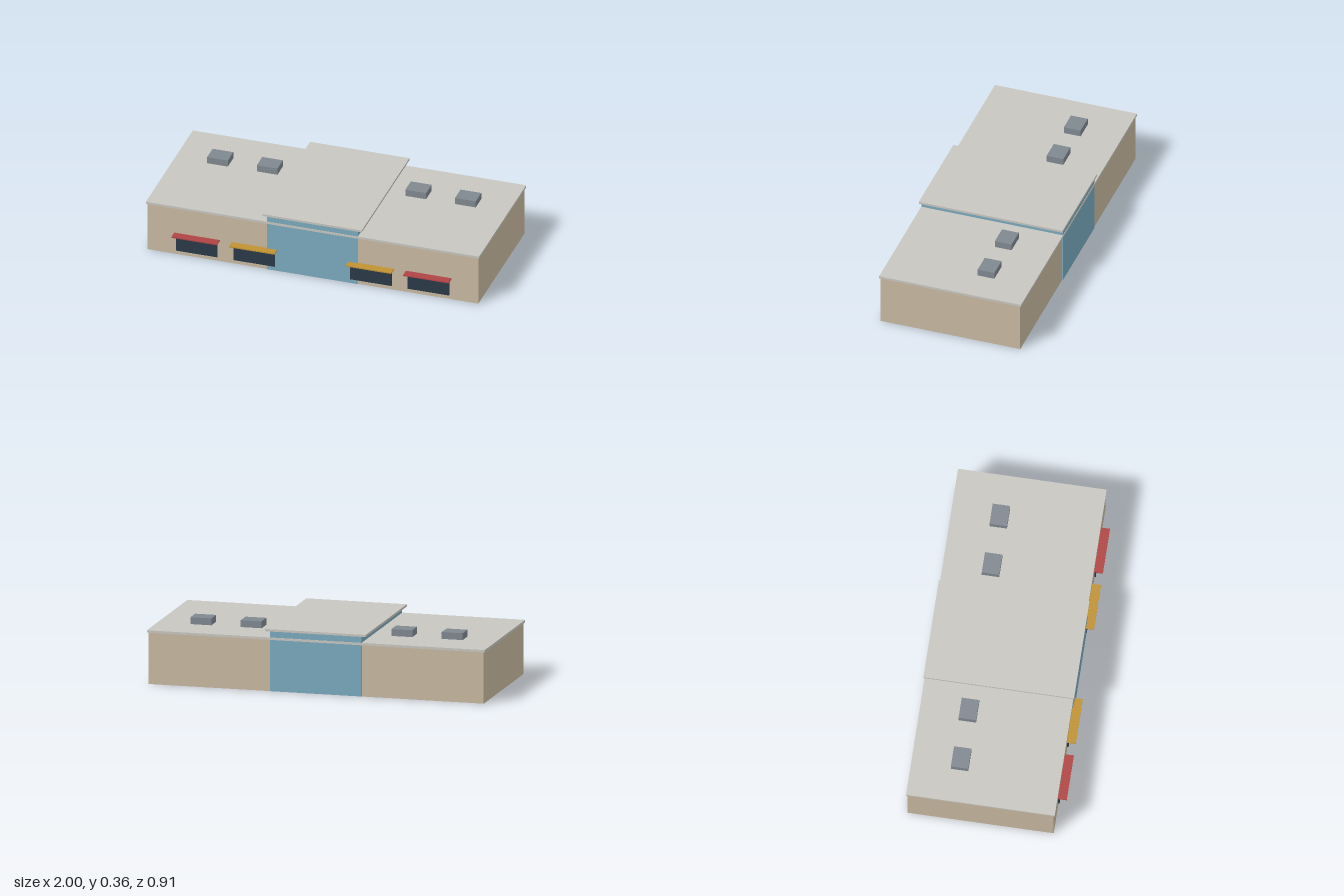
import * as THREE from 'three';

const paint = (name, color) => {
  const m = new THREE.MeshStandardMaterial({ color });
  m.name = name;
  return m;
};

export function createModel() {
  const group = new THREE.Group();
  const tan = paint('tan wall', 0xc8b8a0);
  const glass = paint('blue glass', 0x7aaabe);
  const roof = paint('light grey roof', 0xc8c6c0);
  const metal = paint('grey metal', 0x808890);
  const dark = paint('dark window', 0x2a3a48);
  const red = paint('red awning', 0xb04444);
  const yellow = paint('yellow awning', 0xc09234);

  // Box given by its centre x, width, and y and z ranges
  const box = (name, mat, x, w, y0, y1, z0, z1) => {
    const mesh = new THREE.Mesh(new THREE.BoxGeometry(w, y1 - y0, z1 - z0), mat);
    mesh.position.set(x, (y0 + y1) / 2, (z0 + z1) / 2);
    mesh.name = name;
    group.add(mesh);
  };

  // Main hall and its roof slab
  box('mainWalls', tan, 0, 1.986, 0, 0.302, -0.441, 0.402);
  box('mainRoof', roof, 0, 2, 0.3, 0.314, -0.448, 0.409);

  // Taller glazed entrance block running front to back
  box('glassAtrium', glass, 0, 0.544, 0.0008, 0.352, -0.4462, 0.4072);
  box('atriumRoof', roof, 0, 0.596, 0.35, 0.363, -0.453, 0.415);

  for (const side of [-1, 1]) {
    const name = side > 0 ? 'left' : 'right';
    // Shop windows with flat awnings
    for (const [x, mat, place] of [[0.695, red, 'Outer'], [0.35, yellow, 'Inner']]) {
      box(name + place + 'Window', dark, side * x, 0.248, 0.026, 0.131, 0.4005, 0.41);
      box(name + place + 'Awning', mat, side * x, 0.273, 0.131, 0.138, 0.4, 0.453);
    }
    // Rooftop air units
    for (const [x, place] of [[0.744, 'Outer'], [0.446, 'Inner']]) {
      box(name + place + 'AirUnit', metal, side * x, 0.124, 0.312, 0.354, -0.219, -0.118);
    }
  }
  return group;
}
